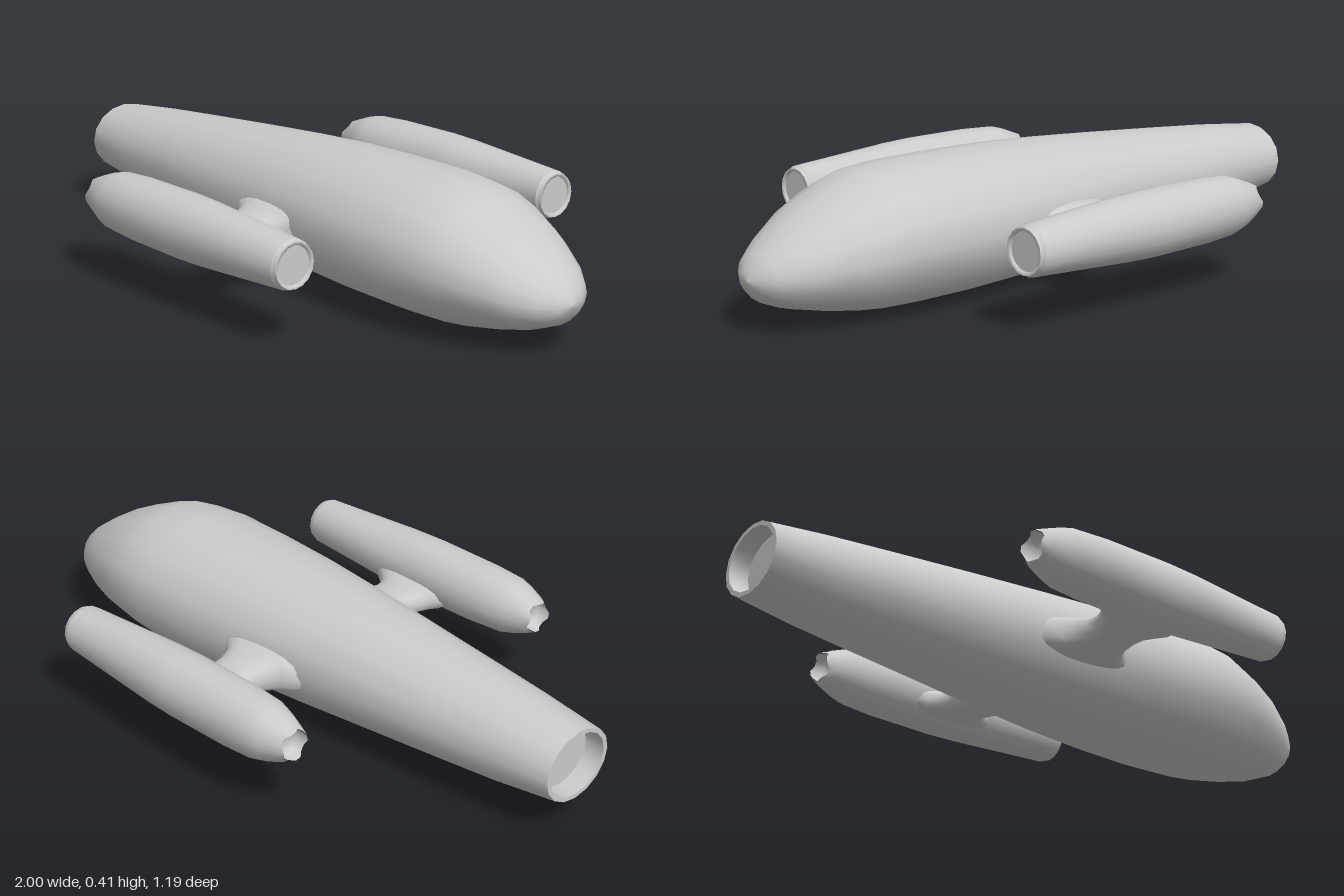
import * as THREE from 'three';

const material = new THREE.MeshStandardMaterial({ color: 0xcccccc });

// Smooth skin through closed rings of [x, y, z] points
function loft(rings) {
  const n = rings[0].length, index = [];
  for (let i = 0; i < rings.length - 1; i++) {
    for (let j = 0; j < n; j++) {
      const k = (j + 1) % n;
      const a = i * n + j, b = i * n + k, c = a + n, d = b + n;
      index.push(a, b, d, a, d, c);
    }
  }
  const geometry = new THREE.BufferGeometry();
  geometry.setAttribute('position', new THREE.Float32BufferAttribute(rings.flat(2), 3));
  geometry.setIndex(index);
  geometry.computeVertexNormals();
  return geometry;
}

// Ring around the x axis; wave shifts alternate points along x
function ringX(x, y, ry, rz, wave = 0, n = 16) {
  return Array.from({ length: n }, (_, j) => {
    const a = (j / n) * Math.PI * 2;
    return [x + (j % 4 < 2 ? 0 : wave), y + ry * Math.cos(a), rz * Math.sin(a)];
  });
}

// Rounded-box ring around the z axis
function ringZ(z, x0, x1, y0, y1, n = 20) {
  const soft = (v) => Math.sign(v) * Math.pow(Math.abs(v), 0.75);
  return Array.from({ length: n }, (_, j) => {
    const a = (j / n) * Math.PI * 2;
    return [
      (x0 + x1) / 2 - ((x1 - x0) / 2) * soft(Math.sin(a)),
      (y0 + y1) / 2 + ((y1 - y0) / 2) * soft(Math.cos(a)),
      z,
    ];
  });
}

function add(parent, name, rings) {
  const mesh = new THREE.Mesh(loft(rings), material);
  mesh.name = name;
  parent.add(mesh);
  return mesh;
}

export function createModel() {
  const model = new THREE.Group();
  model.name = 'ship';

  // Hull sections: x, top, bottom, half width
  const hull = [
    [-1, 0.315, 0.105, 0.125], [-0.8, 0.338, 0.078, 0.148], [-0.6, 0.356, 0.06, 0.167],
    [-0.3, 0.381, 0.036, 0.196], [-0.1, 0.396, 0.02, 0.216], [0.1, 0.407, 0.009, 0.236],
    [0.3, 0.41, 0.005, 0.252], [0.5, 0.409, 0.007, 0.262], [0.62, 0.4, 0.011, 0.25],
    [0.7, 0.373, 0.02, 0.232], [0.8, 0.328, 0.038, 0.197], [0.9, 0.265, 0.062, 0.147],
    [0.96, 0.222, 0.087, 0.098], [0.99, 0.185, 0.118, 0.05], [1, 0.15, 0.15, 0],
  ];
  add(model, 'hull', hull.map(([x, t, b, w]) => ringX(x, (t + b) / 2, (t - b) / 2, w)));

  // Recessed tail exhaust
  const tail = (x, s) => ringX(x, 0.21, 0.105 * s, 0.125 * s);
  add(model, 'exhaustFloor', [tail(-0.94, 0), tail(-0.94, 0.86)]);
  add(model, 'exhaustWall', [tail(-0.94, 0.86), tail(-1, 0.88)]);
  add(model, 'exhaustRim', [tail(-1, 0.88), tail(-1, 1)]);

  for (const side of [1, -1]) {
    const wing = new THREE.Group();
    wing.name = side > 0 ? 'rightEngine' : 'leftEngine';
    wing.scale.z = side;
    model.add(wing);

    // Pylon flaring into hull and nacelle
    add(wing, 'pylon', [
      [0.17, -0.18, 0.22, 0.125, 0.25], [0.215, -0.145, 0.185, 0.128, 0.25],
      [0.235, -0.11, 0.135, 0.13, 0.246], [0.26, -0.088, 0.105, 0.132, 0.238],
      [0.3, -0.07, 0.088, 0.137, 0.229], [0.34, -0.072, 0.083, 0.142, 0.223],
      [0.375, -0.085, 0.092, 0.146, 0.224], [0.4, -0.105, 0.12, 0.15, 0.231],
      [0.42, -0.13, 0.15, 0.153, 0.24], [0.46, -0.14, 0.16, 0.165, 0.25],
    ].map((s) => ringZ(...s)));

    // Nacelle parts run from the notched tail to the capped intake
    const nacelle = new THREE.Group();
    nacelle.name = 'nacelle';
    nacelle.position.set(0, 0.235, 0.5);
    wing.add(nacelle);
    const ring = (x, r, wave) => ringX(x, 0, r, r, wave);
    add(nacelle, 'nozzleInside', [ring(-0.4, 0), ring(-0.4, 0.036), ring(-0.44, 0.044, 0.012)]);
    add(nacelle, 'shell', [
      ring(-0.44, 0.046, 0.012), ring(-0.41, 0.058), ring(-0.36, 0.077), ring(-0.32, 0.088),
      ring(-0.22, 0.094), ring(0, 0.096), ring(0.1, 0.093), ring(0.25, 0.084), ring(0.45, 0.072),
    ]);
    add(nacelle, 'intakeLip', [ring(0.45, 0.072), ring(0.455, 0.068), ring(0.465, 0.066)]);
    add(nacelle, 'intakeRim', [ring(0.465, 0.066), ring(0.465, 0.058), ring(0.457, 0.056)]);
    add(nacelle, 'intakeCap', [ring(0.457, 0.056), ring(0.457, 0)]);
  }
  return model;
}
